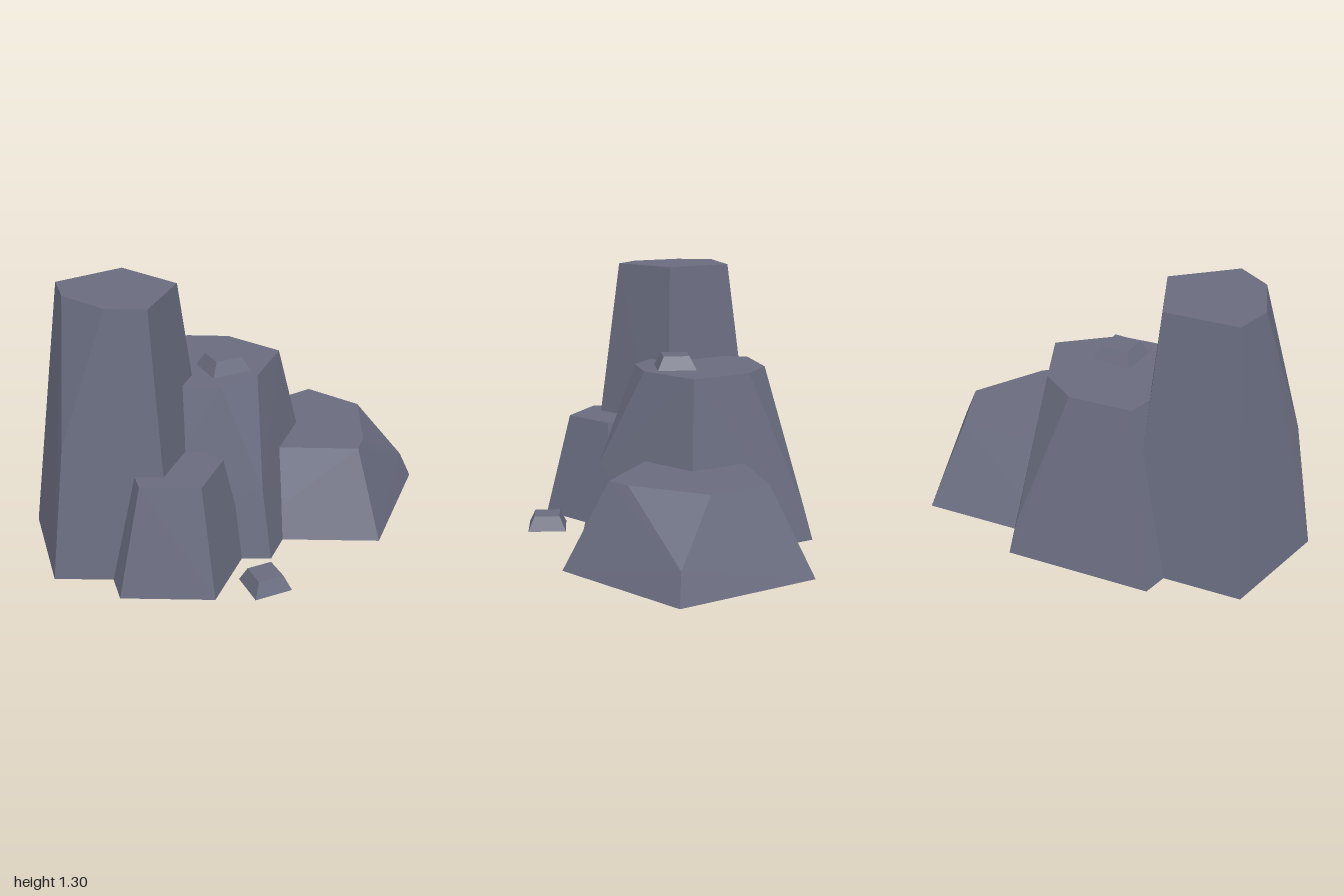
import * as THREE from 'three';
import { ConvexGeometry } from 'three/addons/geometries/ConvexGeometry.js';

const stone = new THREE.MeshStandardMaterial({ color: 0x6a6d80, flatShading: true });
const soil = new THREE.MeshStandardMaterial({ color: 0x6b4f3a, flatShading: true });

// Corners of a regular pentagon, first corner towards +x, at height y
function pentagon(cx, cz, r, y) {
  return Array.from({ length: 5 }, (_, i) => {
    const a = (i * Math.PI * 2) / 5;
    return [cx + r * Math.cos(a), y, cz + r * Math.sin(a)];
  });
}

// Flat ring of [x, z] corners at height y
const ring = (y, corners) => corners.map(([x, z]) => [x, y, z]);

// Faceted stone around the given points; faces lying on the ground become soil
function rock(name, points, hasSoil = true) {
  const group = new THREE.Group();
  group.name = name;
  const hull = new ConvexGeometry(points.map((p) => new THREE.Vector3(...p)));
  const pos = hull.attributes.position;
  const sides = [];
  const floor = [];
  for (let i = 0; i < pos.count; i += 3) {
    const onGround = [0, 1, 2].every((k) => Math.abs(pos.getY(i + k)) < 1e-5);
    const target = hasSoil && onGround ? floor : sides;
    for (let k = 0; k < 3; k++) target.push(pos.getX(i + k), pos.getY(i + k), pos.getZ(i + k));
  }
  const add = (part, data, material) => {
    if (!data.length) return;
    const geometry = new THREE.BufferGeometry();
    geometry.setAttribute('position', new THREE.Float32BufferAttribute(data, 3));
    geometry.computeVertexNormals();
    const mesh = new THREE.Mesh(geometry, material);
    mesh.name = part;
    group.add(mesh);
  };
  add(name + 'Stone', sides, stone);
  add(name + 'Underside', floor, soil);
  return group;
}

// Small four-sided stone tapering to a smaller flat top
function pebble(name, base, y, height) {
  const cx = base.reduce((s, p) => s + p[0], 0) / 4;
  const cz = base.reduce((s, p) => s + p[1], 0) / 4;
  const top = base.map(([x, z]) => [cx + (x - cx) * 0.67, cz + (z - cz) * 0.67]);
  return rock(name, [...ring(y, base), ...ring(y + height, top)], false);
}

export function createModel() {
  const model = new THREE.Group();
  model.name = 'rockCluster';

  // Tall pillar with its front outer corner chipped away
  model.add(rock('tallRock', [
    ...pentagon(-0.615, 0.01, 0.475, 0),
    ...ring(1.3, [[-0.31, 0.01], [-0.51, 0.295], [-0.69, 0.235], [-0.84, 0.02], [-0.84, -0.165], [-0.51, -0.27]]),
    [-0.915, 0.65, 0.235],
  ]));

  // Middle rock, chipped at its front and back corners
  model.add(rock('middleRock', [
    ...pentagon(-0.16, -0.155, 0.6, 0),
    ...ring(0.83, [[0.24, -0.155], [0.05, 0.1], [-0.15, 0.17], [-0.44, 0.07], [-0.44, -0.38], [-0.15, -0.475], [0.05, -0.405]]),
    [0.005, 0.35, 0.335],
    [0.015, 0.16, -0.68],
  ]));

  // Low wide rock, chipped at its outer corner
  model.add(rock('lowRock', [
    ...pentagon(0.4, -0.155, 0.6, 0),
    ...ring(0.415, [[0.54, 0.205], [0.605, 0.11], [0.72, -0.265], [0.535, -0.515], [0.12, -0.375], [0.12, 0.065]]),
    [0.935, 0.14, -0.155],
  ]));

  // Small rock at the front
  model.add(rock('frontRock', [
    ...pentagon(-0.435, 0.312, 0.371, 0),
    ...pentagon(-0.418, 0.312, 0.238, 0.52),
  ]));

  // Loose pebbles, one resting on the middle rock and one on the ground
  model.add(pebble('topPebble', [[-0.195, -0.11], [0, -0.15], [0.035, -0.04 + 0.0], [-0.16, 0.075]].map((p, i) => (i === 2 ? [0.035, 0.035] : p)), 0.83, 0.065));
  model.add(pebble('groundPebble', [[-0.17, 0.535], [0.01, 0.505], [0.04, 0.69], [-0.145, 0.72]], 0, 0.07));

  return model;
}
